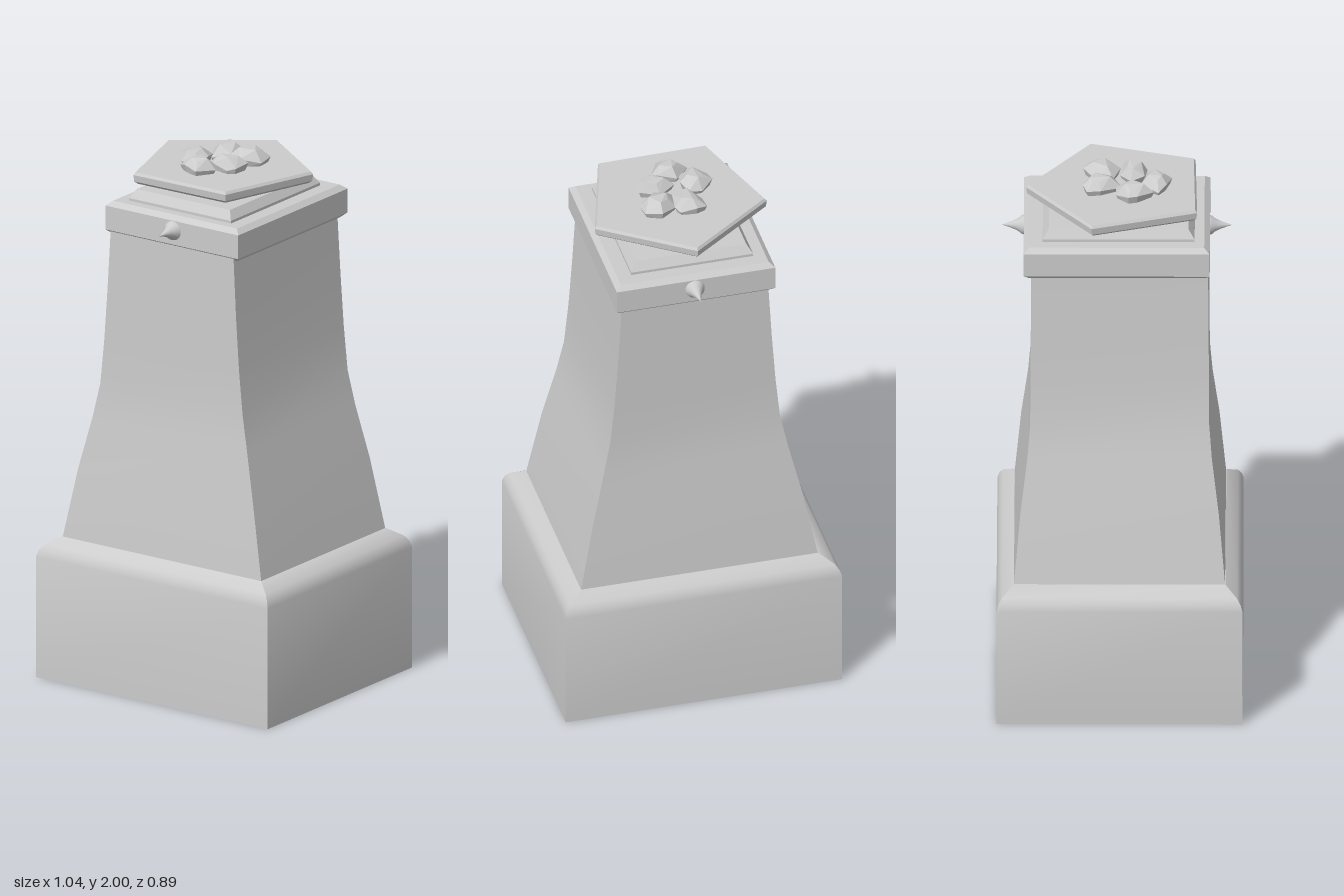
import * as THREE from 'three';
import { toCreasedNormals } from 'three/addons/utils/BufferGeometryUtils.js';
import { ConvexGeometry } from 'three/addons/geometries/ConvexGeometry.js';

const stone = new THREE.MeshStandardMaterial({ color: 0xcccccc });
const facetedStone = new THREE.MeshStandardMaterial({ color: 0xcccccc, flatShading: true });

// Skins stacked outlines (bottom to top, each clockwise in x,z seen from above) and caps both ends.
function loft(rings, crease = 0.6) {
  const n = rings[0].length;
  const pos = rings.flat(2);
  const index = [];
  for (let r = 0; r < rings.length - 1; r++) {
    for (let i = 0; i < n; i++) {
      const a = r * n + i, b = r * n + (i + 1) % n;
      index.push(a, a + n, b, b, a + n, b + n);
    }
  }
  const last = (rings.length - 1) * n;
  for (let i = 1; i < n - 1; i++) {
    index.push(0, i, i + 1, last, last + i + 1, last + i);
  }
  const g = new THREE.BufferGeometry();
  g.setAttribute('position', new THREE.Float32BufferAttribute(pos, 3));
  g.setIndex(index);
  return toCreasedNormals(g, crease);
}

// Rectangular outline with half sizes hx, hz, centred on cx, cz.
const rect = (y, hx, hz, cx = 0, cz = 0) => [
  [cx - hx, y, cz - hz], [cx + hx, y, cz - hz],
  [cx + hx, y, cz + hz], [cx - hx, y, cz + hz],
];

export function createModel() {
  const group = new THREE.Group();
  const add = (name, geometry, material = stone) => {
    const mesh = new THREE.Mesh(geometry, material);
    mesh.name = name;
    group.add(mesh);
    return mesh;
  };

  // Heavy base block with a rounded shoulder
  add('base', loft([
    rect(0, 0.52, 0.447), rect(0.46, 0.52, 0.447), rect(0.485, 0.512, 0.44),
    rect(0.505, 0.497, 0.427), rect(0.535, 0.447, 0.385),
  ]));

  // Flared shaft, wide at the foot and nearly straight above
  add('shaft', loft([
    [0.53, 0.446, 0.384], [0.8, 0.393, 0.36], [1.0, 0.346, 0.335], [1.13, 0.319, 0.325],
    [1.3, 0.302, 0.324], [1.5, 0.288, 0.323], [1.73, 0.275, 0.321],
  ].map(([y, hx, hz]) => rect(y, hx, hz))));

  // Bevelled cap slab
  add('cap', loft([
    [1.705, 0.278, 0.318], [1.722, 0.298, 0.338], [1.813, 0.298, 0.338], [1.83, 0.278, 0.318],
  ].map(([y, hx, hz]) => rect(y, hx, hz, 0.003, -0.011)), 0.3));

  // Tapered step under the dish
  add('step', loft([
    rect(1.825, 0.229, 0.276, -0.001, -0.004), rect(1.84, 0.229, 0.276, -0.001, -0.004),
    rect(1.872, 0.209, 0.254, -0.001, -0.004),
  ], 0.3));

  // Five-sided dish with a sloping underside
  const corners = [[-0.006, -0.341], [0.32, -0.11], [0.205, 0.274], [-0.203, 0.281], [-0.329, -0.102]];
  const pentagon = (y, s) => corners.map(([x, z]) => [x * s, y, z * s]);
  add('dish', loft([
    pentagon(1.872, 0.3), pentagon(1.9, 0.95), pentagon(1.91, 0.99),
    pentagon(1.935, 1), pentagon(1.945, 0.975),
  ]));

  // Pointed studs on the front and back of the cap
  const studProfile = [[0.037, 0], [0.034, 0.01], [0.024, 0.022], [0.013, 0.045], [0.006, 0.065], [0, 0.084]]
    .map(([r, h]) => new THREE.Vector2(r, h));
  for (const [name, side, z] of [['frontStud', 1, 0.324], ['backStud', -1, -0.347]]) {
    const stud = add(name, new THREE.LatheGeometry(studProfile, 20));
    stud.rotation.x = side * Math.PI / 2;
    stud.position.set(0.007, 1.775, z);
  }

  // Loose rocks: footprint outlines in x,z, narrowed above and below
  const rocks = [
    [[-0.1, -0.12], [-0.06, -0.135], [0, -0.125], [0.015, -0.1], [0.01, -0.03], [-0.05, 0.01], [-0.095, -0.07]],
    [[0.07, -0.135], [0.13, -0.11], [0.135, -0.045], [0.07, 0.003], [0, -0.025], [0.005, -0.085]],
    [[-0.16, 0.03], [-0.11, -0.015], [-0.06, -0.015], [-0.04, 0.04], [-0.05, 0.1], [-0.1, 0.125], [-0.15, 0.065]],
    [[-0.02, 0.04], [0.045, 0], [0.12, 0.015], [0.115, 0.085], [0.085, 0.1], [0.01, 0.09]],
    [[-0.095, 0.14], [-0.04, 0.075], [0.03, 0.1], [0.05, 0.12], [0.01, 0.19], [-0.055, 0.17]],
  ];
  rocks.forEach((outline, k) => {
    const cx = outline.reduce((s, p) => s + p[0], 0) / outline.length;
    const cz = outline.reduce((s, p) => s + p[1], 0) / outline.length;
    const points = [];
    outline.forEach(([x, z], i) => {
      const mid = 1.966 + 0.009 * Math.sin(i * 2.1 + k);
      for (const [y, s] of [[1.935, 0.8], [mid, 1], [1.992 + 0.008 * ((i + k) % 2), 0.5]]) {
        points.push(new THREE.Vector3(cx + (x - cx) * s, y, cz + (z - cz) * s));
      }
    });
    add(`rock${k + 1}`, new ConvexGeometry(points), facetedStone);
  });

  return group;
}
